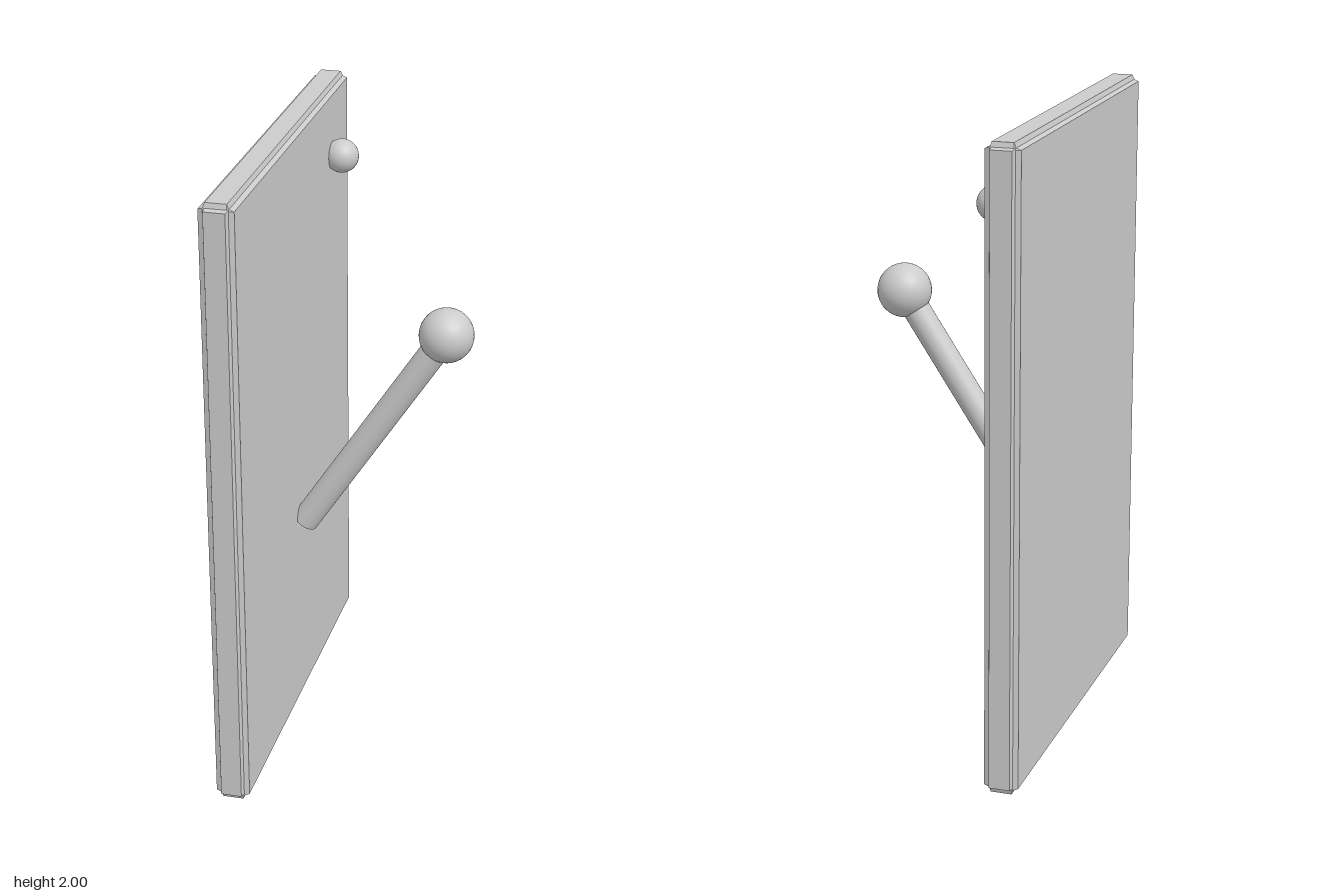
import * as THREE from 'three';

// Box whose edges are cut back by a narrow concave bevel
function covedBox(w, h, d, bevel) {
  const half = [w / 2, h / 2, d / 2];
  const geo = new THREE.BoxGeometry(w, h, d, 3, 3, 3);
  const pos = geo.attributes.position;
  for (let i = 0; i < pos.count; i++) {
    const p = [pos.getX(i), pos.getY(i), pos.getZ(i)];
    const outer = p.map((v, a) => Math.abs(v) > half[a] - 1e-4);
    // Points on an edge or corner sink inwards; the rest frame the flat faces
    const onEdge = outer.filter(Boolean).length > 1;
    const q = p.map((v, a) => {
      const inset = outer[a] ? (onEdge ? bevel * 0.75 : 0) : bevel;
      return Math.sign(v) * (half[a] - inset);
    });
    pos.setXYZ(i, ...q);
  }
  const flat = geo.toNonIndexed();
  flat.computeVertexNormals();
  return flat;
}

export function createModel() {
  const model = new THREE.Group();
  model.name = 'wallLever';
  const smooth = new THREE.MeshStandardMaterial({ color: 0xcccccc });
  const faceted = new THREE.MeshStandardMaterial({ color: 0xcccccc, flatShading: true });

  const add = (name, geometry, material, position) => {
    const mesh = new THREE.Mesh(geometry, material);
    mesh.name = name;
    mesh.position.copy(position);
    model.add(mesh);
    return mesh;
  };

  // Upright mounting plate
  add('plate', covedBox(0.108, 2, 1.33, 0.021), faceted, new THREE.Vector3(-0.284, 1, 0));

  // Slanted lever rod, sunk into the plate at its foot and the knob at its tip
  const foot = new THREE.Vector3(-0.213, 0.673, 0);
  const tip = new THREE.Vector3(0.25, 1.38, 0);
  const axis = tip.clone().sub(foot);
  const rod = add('leverRod', new THREE.CylinderGeometry(0.044, 0.044, axis.length(), 32),
    smooth, foot.clone().lerp(tip, 0.5));
  rod.quaternion.setFromUnitVectors(new THREE.Vector3(0, 1, 0), axis.normalize());

  // Knob on the lever
  add('leverKnob', new THREE.SphereGeometry(0.087, 32, 24), smooth, tip);

  // Small indicator lamp near the upper back corner
  add('indicatorLamp', new THREE.SphereGeometry(0.055, 32, 24), smooth,
    new THREE.Vector3(-0.197, 1.78, -0.445));

  return model;
}
